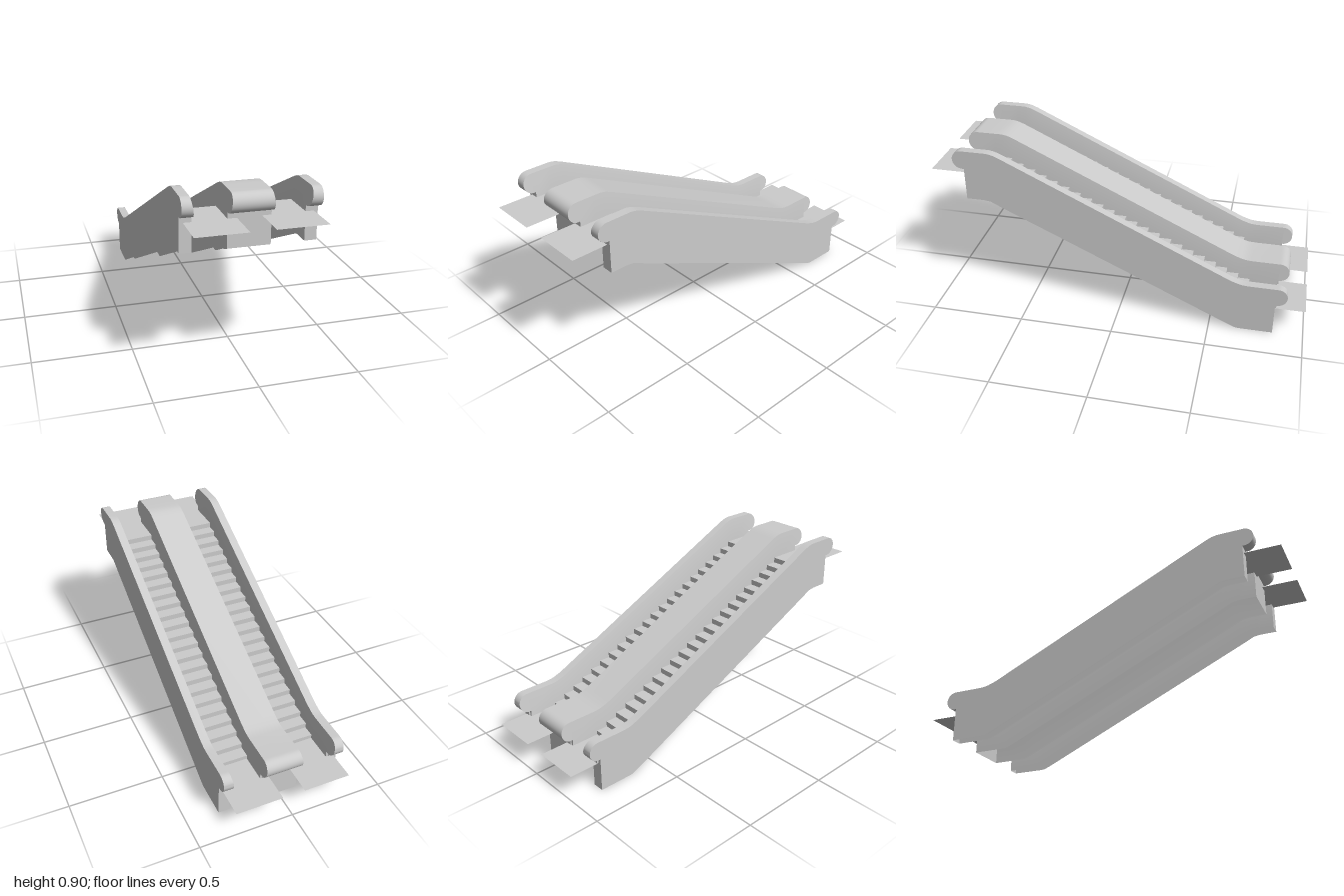
import * as THREE from 'three';
import { toCreasedNormals } from 'three/addons/utils/BufferGeometryUtils.js';

const grey = new THREE.MeshStandardMaterial({ color: 0xcccccc, side: THREE.DoubleSide });

function addMesh(group, name, geometry) {
  const mesh = new THREE.Mesh(geometry, grey);
  mesh.name = name;
  group.add(mesh);
  return mesh;
}

// Collects quads, leaving out triangles that have collapsed to a line
function quadBuilder() {
  const pos = [];
  const tri = (...p) => {
    const [a, b, c] = p.map((v) => new THREE.Vector3(...v));
    if (b.sub(a).cross(c.sub(a)).length() > 1e-8) pos.push(...p.flat());
  };
  return {
    quad(a, b, c, d) { tri(a, b, c); tri(a, c, d); },
    geometry() {
      const g = new THREE.BufferGeometry();
      g.setAttribute('position', new THREE.Float32BufferAttribute(pos, 3));
      g.computeVertexNormals();
      return g;
    },
  };
}

// Balustrade side outline as columns: z, top, bottom, height of the top rail
const NOSE = 9, R = 0.05;
function balustradeColumns() {
  const nose = (z, top, dir) => Array.from({ length: NOSE }, (_, i) => {
    const a = (i / (NOSE - 1)) * Math.PI / 2, h = R * Math.sin(a);
    return [z + dir * R * Math.cos(a), top - R + h, top - R - h, top];
  });
  const body = [
    [-0.84, 0.28, 0], [-0.69, 0.28, 0], [-0.66, 0.283, 0], [-0.64, 0.288, 0.003],
    [-0.60, 0.302, 0.02], [0.62, 0.882, 0.59], [0.65, 0.894, 0.605],
    [0.68, 0.9, 0.62], [0.72, 0.9, 0.625], [0.81, 0.9, 0.625],
  ].map(([z, t, b]) => [z, t, b, t]);
  return [
    ...nose(-0.85, 0.28, -1), [-0.84, 0.28, 0.18, 0.28],
    ...body,
    [0.81, 0.9, 0.8, 0.9], ...nose(0.82, 0.9, 1).reverse(),
  ];
}

// Hollow balustrade, open underneath; each side leans in by its taper over the top 0.1
function balustradeGeometry(lo, hi, taperLo, taperHi) {
  const cols = balustradeColumns();
  const sections = cols.map(([z, top, bot, ref]) => {
    const ys = [bot, Math.max(ref - 0.1, bot), top];
    const lean = (y) => 1 - Math.min((ref - y) / 0.1, 1);
    return [
      ...ys.map((y) => [lo + taperLo * lean(y), y, z]),
      ...ys.reverse().map((y) => [hi - taperHi * lean(y), y, z]),
    ];
  });
  const q = quadBuilder();
  for (let i = 0; i < sections.length - 1; i++) {
    const s = sections[i], n = sections[i + 1];
    for (let k = 0; k < 5; k++) q.quad(s[k], n[k], n[k + 1], s[k + 1]);
    // Undersides of the noses and the upright end faces
    const isEnd = i <= NOSE || i >= sections.length - 2 - NOSE;
    if (isEnd) q.quad(s[5], n[5], n[0], s[0]);
  }
  return toCreasedNormals(q.geometry(), 0.5);
}

// Folded sheet of treads and risers climbing towards +z
function stepsGeometry(x0, x1) {
  const count = 22, z0 = -0.69, y0 = 0.14;
  const run = 1.38 / count, rise = 0.63 / count;
  const q = quadBuilder();
  for (let i = 0; i < count; i++) {
    const z = z0 + i * run, y = y0 + i * rise, t = y + rise;
    q.quad([x0, y, z], [x0, t, z], [x1, t, z], [x1, y, z]);
    q.quad([x0, t, z], [x0, t, z + run], [x1, t, z + run], [x1, t, z]);
  }
  return q.geometry();
}

export function createModel() {
  const model = new THREE.Group();
  model.name = 'doubleEscalator';

  // Balustrades
  addMesh(model, 'rightBalustrade', balustradeGeometry(-0.33, -0.27, 0, 0.015));
  addMesh(model, 'middleBalustrade', balustradeGeometry(-0.105, 0.105, 0.01, 0.01));
  addMesh(model, 'leftBalustrade', balustradeGeometry(0.27, 0.33, 0.015, 0));

  for (const side of [-1, 1]) {
    const label = side < 0 ? 'right' : 'left';
    const mid = side * 0.1875;

    // Stairway
    addMesh(model, label + 'Steps', stepsGeometry(mid - 0.0825, mid + 0.0825));

    // Landing plates at both ends
    for (const [name, y, z] of [['LowerLanding', 0.147, -0.845], ['UpperLanding', 0.77, 0.845]]) {
      const plate = addMesh(model, label + name, new THREE.PlaneGeometry(0.25, 0.31));
      plate.rotation.x = -Math.PI / 2;
      plate.position.set(side * 0.185, y, z);
    }

    // Small handrail inlets below the lower noses
    for (const x of [0.078, 0.297]) {
      const inlet = addMesh(model, label + 'HandrailInlet', new THREE.BoxGeometry(0.03, 0.03, 0.01));
      inlet.position.set(side * x, 0.165, -0.842);
    }
  }
  return model;
}
